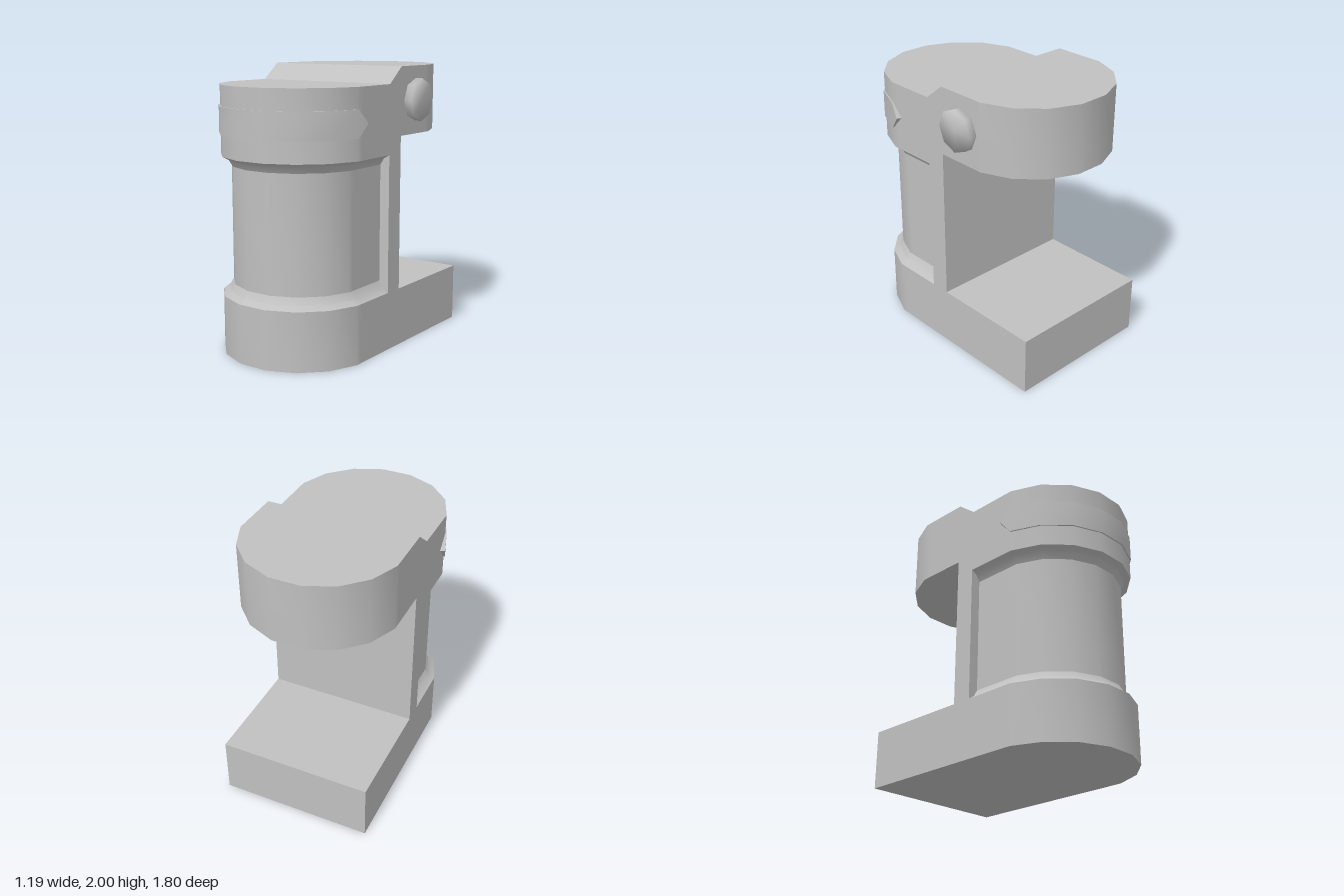
import * as THREE from 'three';
import { toCreasedNormals } from 'three/addons/utils/BufferGeometryUtils.js';

const CREASE = 0.5;
const STEP = Math.PI / 8; // sixteen-sided rounding
const R = 0.564; // radius of the rounded ends
const HALF = R * Math.cos(STEP / 2); // half width of the body
const FRONT = 0.335, REAR = -0.345; // centres of the rounded ends
const SPINE_FRONT = 0.065, SPINE_BACK = -0.08;

// Eight corners of a half round, running from +x to -x; dir is 1 for front, -1 for rear
function halfRound(r, cz, dir = 1) {
  return Array.from({ length: 8 }, (_, k) => {
    const a = STEP * (k + 0.5);
    return [r * Math.cos(a), cz + dir * r * Math.sin(a)];
  });
}

// Rounded end closed by straight sides back to zBack; the extra side points keep the sides flat
function outline(r, cz, zBack, dir = 1) {
  const h = r * Math.cos(STEP / 2), zs = cz + dir * 0.06;
  return [[h, zBack], [h, zs], ...halfRound(r, cz, dir), [-h, zs], [-h, zBack]];
}

// Upright prism from a plan of [x, z] points
function prism(plan, y0, y1) {
  const shape = new THREE.Shape(plan.map(([x, z]) => new THREE.Vector2(x, -z)));
  const geo = new THREE.ExtrudeGeometry(shape, { depth: y1 - y0, bevelEnabled: false });
  geo.rotateX(-Math.PI / 2).translate(0, y0, 0);
  return toCreasedNormals(geo, CREASE);
}

// Skin over a row of closed sections with equal point counts
function loft(sections) {
  const n = sections[0].length, index = [];
  for (let i = 0; i < sections.length - 1; i++) {
    for (let j = 0; j < n; j++) {
      const a = i * n + j, b = i * n + (j + 1) % n;
      index.push(a, a + n, b + n, a, b + n, b);
    }
  }
  const geo = new THREE.BufferGeometry();
  geo.setAttribute('position', new THREE.Float32BufferAttribute(sections.flat(2), 3));
  geo.setIndex(index);
  return toCreasedNormals(geo, CREASE);
}

export function createModel() {
  const model = new THREE.Group();
  const body = new THREE.Group();
  body.name = 'machineBody';
  body.position.x = -0.012;
  model.add(body);

  const grey = new THREE.MeshStandardMaterial({ color: 0xc0c0c0 });
  grey.name = 'grey';
  const add = (name, geo) => {
    const mesh = new THREE.Mesh(geo, grey);
    mesh.name = name;
    body.add(mesh);
    return mesh;
  };

  // Base: rounded front, square back
  add('base', prism(outline(R, FRONT, -0.89), 0, 0.42));

  // Upright spine, sloping at the top between the two head heights
  const side = new THREE.Shape([
    [-SPINE_FRONT, 0.42], [-SPINE_BACK, 0.42], [-SPINE_BACK, 2], [-SPINE_FRONT, 1.885],
  ].map(([u, v]) => new THREE.Vector2(u, v)));
  const spine = new THREE.ExtrudeGeometry(side, { depth: 2 * HALF, bevelEnabled: false });
  spine.rotateY(Math.PI / 2).translate(-HALF, 0, 0);
  add('spine', spine);

  // Recessed tank with flared ends: [y, inset]
  const flare = [[0.42, 0], [0.45, 0.045], [0.5, 0.074], [1.33, 0.074], [1.375, 0.045], [1.4, 0]];
  add('tank', loft(flare.map(([y, inset]) =>
    outline(R - inset, FRONT, SPINE_FRONT).map(([x, z]) => [x, y, z]))));

  // Front and rear halves of the head
  add('frontHead', prism(outline(R, FRONT, SPINE_FRONT), 1.4, 1.885));
  add('rearHead', prism(outline(R, REAR, SPINE_BACK, -1).reverse(), 1.52, 2));

  // Band wrapped round the front head, ending in a point on each side
  const outer = halfRound(R + 0.01, FRONT), inner = halfRound(R - 0.02, FRONT);
  const bandPath = [
    { o: [0.585, 0.37], i: [0.55, 0.355], h: 0 },
    ...outer.map((o, k) => ({ o, i: inner[k], h: 0.095 })),
    { o: [-0.585, 0.37], i: [-0.55, 0.355], h: 0 },
  ];
  add('headBand', loft(bandPath.map(({ o, i, h }) => [
    [o[0], 1.645 + h, o[1]], [o[0], 1.645 - h, o[1]],
    [i[0], 1.645 - h, i[1]], [i[0], 1.645 + h, i[1]],
  ])));

  // Eight-sided side knob with soft shading
  const knobGeo = new THREE.CylinderGeometry(0.15, 0.15, 0.07, 8);
  const knob = add('sideKnob', toCreasedNormals(knobGeo, Math.PI));
  knob.rotation.z = -Math.PI / 2;
  knob.position.set(0.572, 1.762, -0.267);

  return model;
}
